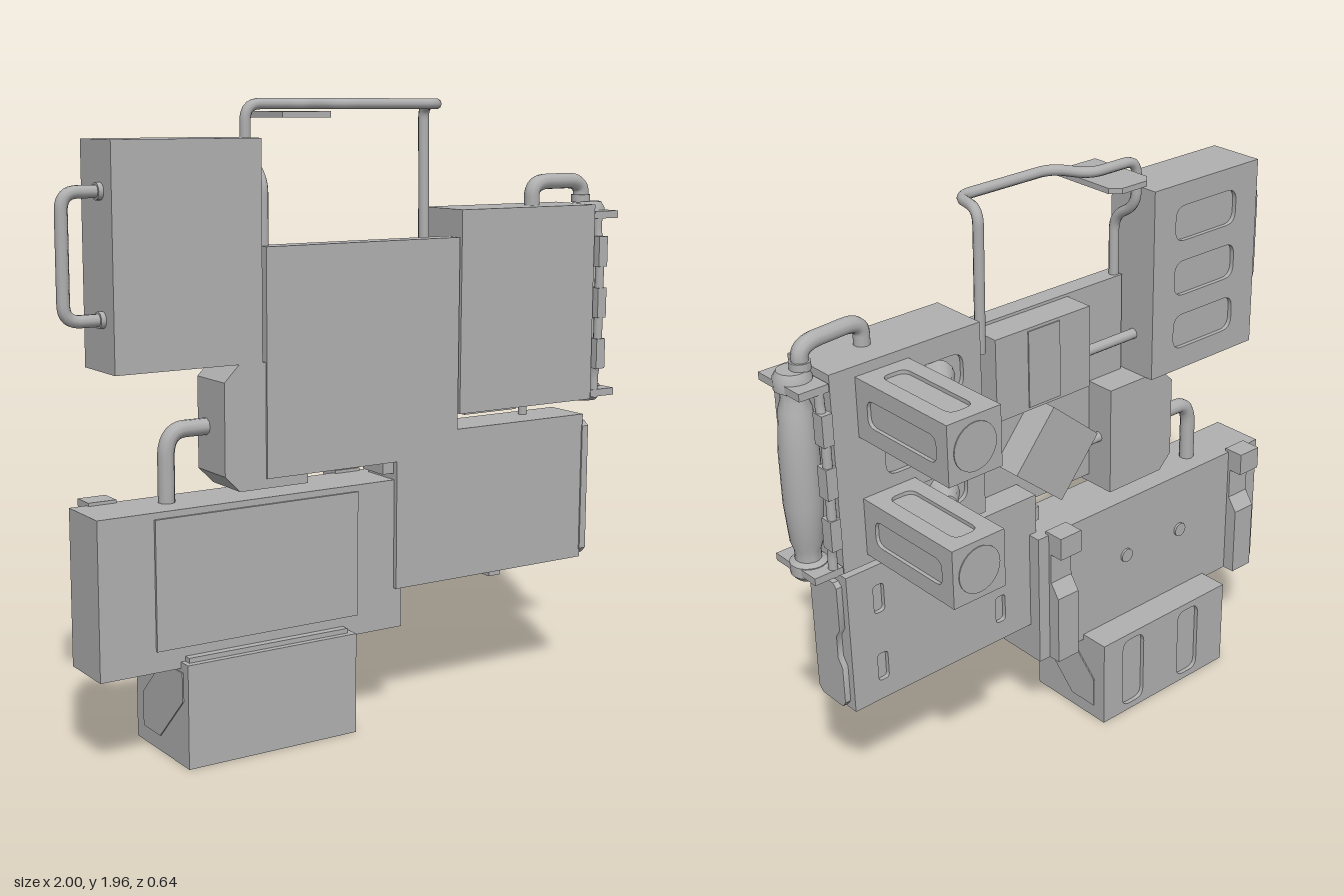
import * as THREE from 'three';
import { toCreasedNormals } from 'three/addons/utils/BufferGeometryUtils.js';

const grey = new THREE.MeshStandardMaterial({ color: 0xb0b0b0 });
grey.name = 'plain grey';
const V = (p) => new THREE.Vector3(...p);

export function createModel() {
  const model = new THREE.Group();

  const add = (name, geometry, parent = model) => {
    const mesh = new THREE.Mesh(geometry, grey);
    mesh.name = name;
    parent.add(mesh);
    return mesh;
  };

  // Box given by its limits on each axis
  const box = (name, x0, x1, y0, y1, z0, z1, parent) => {
    const mesh = add(name, new THREE.BoxGeometry(x1 - x0, y1 - y0, z1 - z0), parent);
    mesh.position.set((x0 + x1) / 2, (y0 + y1) / 2, (z0 + z1) / 2);
    return mesh;
  };

  const polygon = (points) => new THREE.Shape(points.map((p) => new THREE.Vector2(...p)));
  const extrude = (shape, depth) =>
    toCreasedNormals(new THREE.ExtrudeGeometry(shape, { depth, bevelEnabled: false, curveSegments: 6 }), 0.6);

  // Rounded slot outline used for the recesses
  const slot = (cx, cy, w, h) => {
    const p = new THREE.Path(), r = Math.min(w, h) * 0.35, x = w / 2, y = h / 2;
    p.moveTo(cx - x + r, cy - y);
    p.lineTo(cx + x - r, cy - y).quadraticCurveTo(cx + x, cy - y, cx + x, cy - y + r);
    p.lineTo(cx + x, cy + y - r).quadraticCurveTo(cx + x, cy + y, cx + x - r, cy + y);
    p.lineTo(cx - x + r, cy + y).quadraticCurveTo(cx - x, cy + y, cx - x, cy + y - r);
    p.lineTo(cx - x, cy - y + r).quadraticCurveTo(cx - x, cy - y, cx - x + r, cy - y);
    return p;
  };

  // Box whose back face carries shallow recesses
  const slottedBox = (name, x0, x1, y0, y1, z0, z1, slots, d = 0.015) => {
    const group = new THREE.Group();
    group.name = name;
    model.add(group);
    box(name + 'Core', x0, x1, y0, y1, z0 + d, z1, group);
    const face = polygon([[x0, y0], [x1, y0], [x1, y1], [x0, y1]]);
    face.holes = slots.map((s) => slot(...s));
    add(name + 'Back', extrude(face, d), group).position.z = z0;
  };

  // Pipe along straight runs with rounded corners
  const pipe = (name, radius, bend, coords) => {
    const pts = coords.map(V), path = new THREE.CurvePath();
    let from = pts[0];
    for (let i = 1; i < pts.length - 1; i++) {
      const toward = (q) => {
        const dir = q.clone().sub(pts[i]);
        return pts[i].clone().addScaledVector(dir.normalize(), Math.min(bend, q.distanceTo(pts[i]) * 0.45));
      };
      const a = toward(pts[i - 1]), b = toward(pts[i + 1]);
      path.add(new THREE.LineCurve3(from, a));
      path.add(new THREE.QuadraticBezierCurve3(a, pts[i], b));
      from = b;
    }
    path.add(new THREE.LineCurve3(from, pts[pts.length - 1]));
    return add(name, new THREE.TubeGeometry(path, coords.length * 16, radius, 10, false));
  };

  // Bottom case with grooved back, lid lip and side panels
  slottedBox('bottomCase', -0.66, -0.07, 0, 0.32, -0.02, 0.32,
    [[-0.21, 0.16, 0.1, 0.27], [-0.48, 0.16, 0.1, 0.27]]);
  box('bottomCaseLip', -0.645, -0.09, 0.3, 0.335, 0.1, 0.3);
  const sidePanel = polygon([[-0.29, 0.29], [-0.29, 0.2], [-0.14, 0.05], [-0.03, 0.05], [-0.03, 0.16], [-0.16, 0.29]]);
  for (const x of [-0.072, -0.664]) {
    const panel = add('bottomCaseSidePanel', extrude(sidePanel, 0.006));
    panel.rotation.y = Math.PI / 2;
    panel.position.x = x;
  }

  // Lower wide case with front panel and back clamps
  box('lowerCase', -0.92, 0.13, 0.3, 0.78, 0.085, 0.275);
  box('lowerCaseFrontPanel', -0.74, -0.04, 0.365, 0.76, 0.27, 0.283);
  const clampProfile = polygon([[-0.1, 0.3], [-0.04, 0.3], [-0.04, 0.55], [-0.075, 0.6], [-0.075, 0.71],
    [-0.025, 0.71], [-0.025, 0.79], [-0.1, 0.79]]);
  for (const x of [-0.865, -0.005]) {
    const clamp = add('backClamp', extrude(clampProfile, 0.09));
    clamp.rotation.y = Math.PI / 2;
    clamp.position.x = x;
  }
  for (const x of [-0.53, -0.27]) {
    const rivet = add('backRivet', new THREE.CylinderGeometry(0.025, 0.025, 0.012, 16));
    rivet.rotation.x = Math.PI / 2;
    rivet.position.set(x, 0.56, 0.083);
  }

  // Right case with small vents and an end cap
  slottedBox('rightCase', 0.1, 0.855, 0.43, 0.92, 0.13, 0.29,
    [0.26, 0.74].flatMap((x) => [0.55, 0.8].map((y) => [x, y, 0.04, 0.1])));
  const capProfile = polygon([[-0.295, 0.46], [-0.275, 0.44], [-0.17, 0.44], [-0.155, 0.46], [-0.155, 0.59],
    [-0.175, 0.62], [-0.175, 0.7], [-0.155, 0.73], [-0.155, 0.88], [-0.17, 0.895], [-0.275, 0.895], [-0.295, 0.88]]);
  const endCap = add('rightCaseEndCap', extrude(capProfile, 0.025));
  endCap.rotation.y = Math.PI / 2;
  endCap.position.x = 0.85;
  box('rightCaseFoot', 0.485, 0.53, 0.41, 0.44, 0.17, 0.27);

  // Central plate, the block on its side and the boxes behind it
  box('centrePlate', -0.37, 0.332, 0.84, 1.53, 0.225, 0.292);
  add('sideBlock', extrude(polygon([[-0.51, 0.86], [-0.46, 0.81], [-0.225, 0.81], [-0.225, 1.19],
    [-0.46, 1.19], [-0.51, 1.14]]), 0.165)).position.z = 0.12;
  box('plateSupport', 0.06, 0.13, 0.8, 0.85, 0.16, 0.27);
  box('centreBackBox', -0.13, 0.26, 1.24, 1.52, 0.12, 0.23);
  box('centreBackBoxLid', 0.0, 0.13, 1.25, 1.51, 0.116, 0.13);
  const tilted = add('tiltedBox', new THREE.BoxGeometry(0.25, 0.25, 0.12));
  tilted.position.set(0.01, 1.04, 0.18);
  tilted.rotation.z = 0.7;
  pipe('upperLink', 0.018, 0.02, [[-0.1, 1.33, 0.18], [-0.45, 1.33, 0.18]]);
  pipe('lowerLink', 0.018, 0.02, [[0, 1.0, 0.18], [-0.3, 1.0, 0.18]]);

  // Upper cases with three recesses on each back
  const rows = [-0.19, 0, 0.19];
  slottedBox('upperOuterCase', -0.86, -0.382, 1.19, 1.843, 0.09, 0.288,
    rows.map((dy) => [-0.62, 1.517 + dy, 0.28, 0.12]));
  slottedBox('upperCylinderCase', 0.342, 0.885, 0.968, 1.615, 0.09, 0.29,
    rows.map((dy) => [0.56, 1.29 + dy, 0.3, 0.12]));
  box('caseFoot', 0.39, 0.6, 0.955, 0.97, 0.14, 0.25);
  pipe('casePost', 0.015, 0.01, [[0.685, 0.9, 0.18], [0.685, 0.98, 0.18]]);

  // Rear boxes with slotted sides, round end and feed hose
  for (const y of [1.095, 1.487]) {
    const rear = new THREE.Group();
    rear.name = 'rearBox';
    rear.position.set(0.703, y, -0.115);
    model.add(rear);
    add('rearBoxCore', new THREE.BoxGeometry(0.166, 0.166, 0.41), rear);
    for (let i = 0; i < 4; i++) {
      const side = polygon([[-0.205, -0.095], [0.205, -0.095], [0.205, 0.095], [-0.205, 0.095]]);
      side.holes.push(slot(0, 0, 0.31, 0.085));
      const turn = new THREE.Group();
      turn.rotation.z = i * Math.PI / 2;
      rear.add(turn);
      const plate = add('rearBoxSide', extrude(side, 0.012), turn);
      plate.rotation.y = Math.PI / 2;
      plate.position.x = 0.083;
    }
    const disc = add('rearBoxEnd', new THREE.CylinderGeometry(0.075, 0.075, 0.008, 24), rear);
    disc.rotation.x = Math.PI / 2;
    disc.position.z = -0.204;
    const plug = add('hosePlug', new THREE.CylinderGeometry(0.035, 0.055, 0.08, 12));
    plug.rotation.set(-Math.PI / 2, 0, -0.5);
    plug.position.set(0.525, y, 0.06);
    pipe('feedHose', 0.016, 0.03, [[0.53, y, 0.05], [0.575, y, 0.03], [0.59, y, -0.05], [0.63, y, -0.07]]);
  }

  // Canister with barrel, caps, clamp rods and top pipe
  const profile = [[0, 0.95], [0.045, 0.95], [0.057, 0.965], [0.057, 1.0], [0.04, 1.01], [0.04, 1.04], [0.05, 1.07],
    [0.06, 1.2], [0.06, 1.36], [0.05, 1.5], [0.04, 1.53], [0.04, 1.555], [0.057, 1.565], [0.057, 1.6], [0.045, 1.62], [0, 1.62]];
  const canister = add('canister', toCreasedNormals(
    new THREE.LatheGeometry(profile.map((p) => new THREE.Vector2(...p)), 24), 0.6));
  canister.position.set(0.942, 0, 0.185);
  for (const y of [0.985, 1.58]) {
    box('canisterClamp', 0.89, 0.99, y - 0.012, y + 0.012, 0.085, 0.285);
  }
  for (const s of [-1, 1]) {
    const at = (d, y) => [0.915, y, 0.185 + s * d];
    pipe('clampRod', 0.015, 0.02, [at(0.085, 0.97), at(0.085, 1.05), at(0.1, 1.1), at(0.1, 1.47), at(0.085, 1.52), at(0.085, 1.59)]);
    for (const y of [1.12, 1.29, 1.46]) {
      const z = 0.185 + s * 0.095;
      box('rodSleeve', 0.897, 0.933, y - 0.05, y + 0.05, z - 0.022, z + 0.022);
    }
  }
  pipe('canisterPipe', 0.026, 0.07, [[0.69, 1.59, 0.2], [0.69, 1.69, 0.2], [0.92, 1.69, 0.175], [0.92, 1.6, 0.175]]);
  const collar = add('pipeCollar', new THREE.CylinderGeometry(0.032, 0.032, 0.025, 16));
  collar.position.set(0.92, 1.63, 0.175);

  // Outer handle and elbow pipe
  pipe('outerHandle', 0.019, 0.05, [[-0.85, 1.34, 0.215], [-0.979, 1.34, 0.215], [-0.979, 1.7, 0.215], [-0.85, 1.7, 0.215]]);
  for (const y of [1.34, 1.7]) {
    const ring = add('handleCollar', new THREE.CylinderGeometry(0.025, 0.025, 0.02, 16));
    ring.rotation.z = Math.PI / 2;
    ring.position.set(-0.865, y, 0.215);
  }
  pipe('elbowPipe', 0.026, 0.08, [[-0.645, 0.77, 0.17], [-0.645, 0.995, 0.17], [-0.5, 0.995, 0.17]]);

  // Bent wire frame on top with its small tray
  pipe('topFrame', 0.017, 0.05, [[-0.357, 1.35, 0.25], [-0.357, 1.73, 0.25], [-0.357, 1.79, 0.15], [-0.357, 1.94, 0.15],
    [-0.16, 1.94, 0.15], [-0.1, 1.94, 0.265], [0.27, 1.94, 0.265], [0.295, 1.94, 0.14], [0.295, 1.48, 0.15]]);
  const tray = add('topTray', extrude(polygon([[-0.315, -0.295], [-0.15, -0.295], [-0.15, -0.06], [-0.18, -0.03],
    [-0.285, -0.03], [-0.315, -0.06]]), 0.018));
  tray.rotation.x = -Math.PI / 2;
  tray.position.y = 1.9;

  return model;
}
